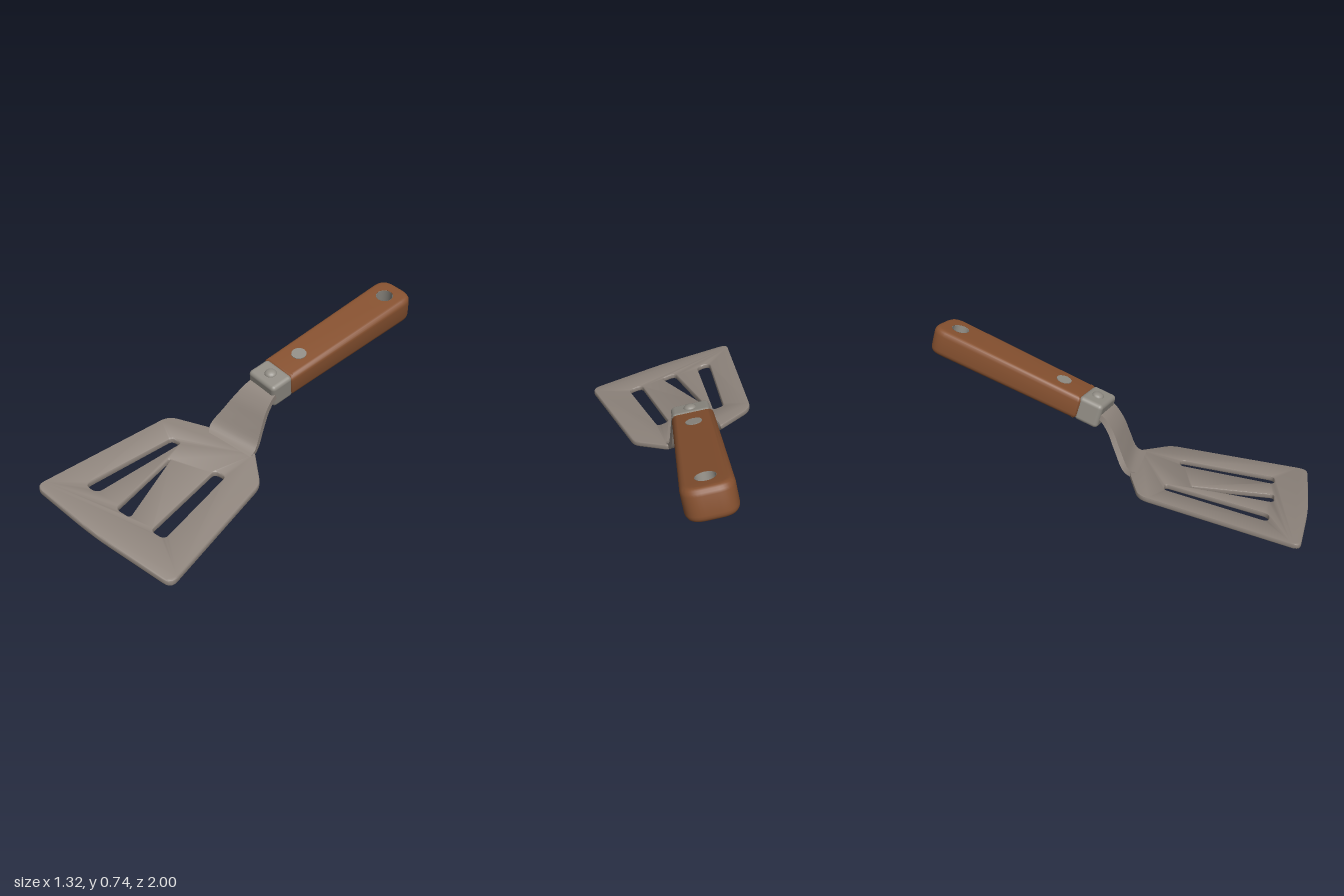
import * as THREE from 'three';
import { toCreasedNormals } from 'three/addons/utils/BufferGeometryUtils.js';
import { RoundedBoxGeometry } from 'three/addons/geometries/RoundedBoxGeometry.js';

const V = (x, y, z) => new THREE.Vector3(x, y, z);

// Closed polygon with rounded corners; each point is [x, y, radius]
function roundedPath(points, path) {
  const n = points.length;
  points.forEach(([x, y, r], i) => {
    const p = new THREE.Vector2(x, y);
    const toward = (q) => {
      const d = new THREE.Vector2(q[0], q[1]).sub(p);
      return p.clone().addScaledVector(d.normalize(), r);
    };
    const a = toward(points[(i + n - 1) % n]);
    const b = toward(points[(i + 1) % n]);
    if (i === 0) path.moveTo(a.x, a.y);
    else path.lineTo(a.x, a.y);
    path.quadraticCurveTo(x, y, b.x, b.y);
  });
  path.closePath();
  return path;
}

// Lets a rule move every vertex of a geometry
function moveVertices(geometry, rule) {
  const pos = geometry.attributes.position;
  const v = V(0, 0, 0);
  for (let i = 0; i < pos.count; i++) {
    v.fromBufferAttribute(pos, i);
    rule(v);
    pos.setXYZ(i, v.x, v.y, v.z);
  }
  return geometry;
}

function mesh(name, geometry, material) {
  const m = new THREE.Mesh(geometry, material);
  m.name = name;
  return m;
}

// Slotted blade: plan outline extruded thin and laid on a tilted plane
function bladeGeometry() {
  const flip = (pts) => pts.map(([x, z, r]) => [x, -z, r]);
  const shape = roundedPath(flip([
    [-0.67, 0.795, 0.045], [-0.3, 0.915, 0.1], [0.147, 1.01, 0.05], [0.268, 0.275, 0.04],
    [0.165, 0.09, 0.02], [-0.11, 0.03, 0.03], [-0.335, 0.06, 0.05],
  ]), new THREE.Shape());
  const slots = [
    [[-0.25, 0.195, 0.02], [-0.19, 0.205, 0.02], [-0.395, 0.7, 0.035], [-0.47, 0.68, 0.035]],
    [[-0.196, 0.34, 0.003], [-0.186, 0.34, 0.003], [-0.186, 0.76, 0.02], [-0.27, 0.745, 0.03]],
    [[0.035, 0.3, 0.025], [0.1, 0.31, 0.025], [0.01, 0.8, 0.03], [-0.068, 0.785, 0.03]],
  ];
  slots.forEach((s) => shape.holes.push(roundedPath(flip(s), new THREE.Path())));
  const geo = new THREE.ExtrudeGeometry(shape, {
    depth: 0.018, curveSegments: 5, bevelEnabled: true, bevelSegments: 2,
    bevelSize: 0.005, bevelThickness: 0.006, bevelOffset: -0.005,
  });
  geo.rotateX(-Math.PI / 2);
  moveVertices(geo, (v) => { v.y += 0.174 - 0.154 * v.x - 0.15 * v.z; });
  return toCreasedNormals(geo, 0.9);
}

// Cranked neck: flat strip lofted between a left and a right rail
function neckGeometry() {
  const left = new THREE.CatmullRomCurve3([
    V(-0.09, 0.194, 0.09), V(-0.11, 0.225, 0.03), V(-0.055, 0.31, -0.015),
    V(0, 0.39, -0.05), V(0.05, 0.45, -0.1), V(0.09, 0.47, -0.18),
  ]);
  const right = new THREE.CatmullRomCurve3([
    V(0.155, 0.148, 0.15), V(0.165, 0.175, 0.085), V(0.176, 0.27, 0.045),
    V(0.19, 0.36, 0.01), V(0.215, 0.432, -0.045), V(0.255, 0.452, -0.125),
  ]);
  const steps = 20, thickness = 0.03, rings = [], out = [];
  for (let i = 0; i <= steps; i++) {
    const t = i / steps;
    const l = left.getPoint(t), r = right.getPoint(t);
    const along = left.getTangent(t).add(right.getTangent(t));
    const down = r.clone().sub(l).cross(along).normalize().multiplyScalar(-thickness);
    rings.push([l, r, r.clone().add(down), l.clone().add(down)]);
  }
  for (let i = 0; i < steps; i++) {
    for (let j = 0; j < 4; j++) {
      const k = (j + 1) % 4;
      const a = rings[i][j], b = rings[i][k], c = rings[i + 1][k], d = rings[i + 1][j];
      [a, b, c, a, c, d].forEach((p) => out.push(p.x, p.y, p.z));
    }
  }
  const geo = new THREE.BufferGeometry();
  geo.setAttribute('position', new THREE.Float32BufferAttribute(out, 3));
  return toCreasedNormals(geo, 0.7);
}

const HOLE_Z = -0.79, HOLE_R = 0.046;
const swell = (z) => 1 - 0.17 * z; // handle thickens toward its far end

// Wooden grip: runs from z = 0 to z = -0.905 in its own frame
function gripGeometry() {
  const shape = roundedPath([
    [-0.102, 0, 0.015], [0.102, 0, 0.015], [0.115, 0.905, 0.085], [-0.115, 0.905, 0.085],
  ], new THREE.Shape());
  shape.holes.push(new THREE.Path().absarc(0, -HOLE_Z, HOLE_R, 0, Math.PI * 2, true));
  const bevel = 0.028;
  const geo = new THREE.ExtrudeGeometry(shape, {
    depth: 0.13 - 2 * bevel, curveSegments: 10, bevelEnabled: true, bevelSegments: 4,
    bevelSize: bevel, bevelThickness: bevel, bevelOffset: -bevel,
  });
  geo.translate(0, 0, -0.065 + bevel);
  geo.rotateX(-Math.PI / 2);
  moveVertices(geo, (v) => {
    // keep the hanging hole straight through the bevel
    const dx = v.x, dz = v.z - HOLE_Z, d = Math.hypot(dx, dz);
    if (d < 0.078) {
      v.x = dx / d * HOLE_R;
      v.z = HOLE_Z + dz / d * HOLE_R;
    }
    v.y *= swell(v.z);
  });
  return toCreasedNormals(geo, 0.6);
}

export function createModel() {
  const steel = new THREE.MeshStandardMaterial({ color: 0x8f857d });
  steel.name = 'blade steel';
  const fitting = new THREE.MeshStandardMaterial({ color: 0x908c84 });
  fitting.name = 'fitting metal';
  const wood = new THREE.MeshStandardMaterial({ color: 0x85502f });
  wood.name = 'brown wood';

  const model = new THREE.Group();
  model.name = 'spatula';
  model.add(mesh('blade', bladeGeometry(), steel), mesh('neck', neckGeometry(), steel));

  // Handle frame: x across, y out of the top face, -z toward the far end
  const handle = new THREE.Group();
  handle.name = 'handle';
  const back = V(-0.45, -0.23, 0.86).normalize();
  const up = back.clone().cross(V(0.893, -0.172, 0.416)).normalize();
  const across = up.clone().cross(back);
  handle.quaternion.setFromRotationMatrix(new THREE.Matrix4().makeBasis(across, up, back));
  handle.position.set(0.175, 0.455, -0.185);
  model.add(handle);

  handle.add(mesh('grip', gripGeometry(), wood));

  // Metal sleeve lining the hanging hole
  const h = 0.064 * swell(HOLE_Z);
  const sleeve = mesh('hangingHoleSleeve', new THREE.LatheGeometry([
    new THREE.Vector2(HOLE_R, -h), new THREE.Vector2(0.043, -h),
    new THREE.Vector2(0.043, h), new THREE.Vector2(HOLE_R, h),
  ], 24), fitting);
  sleeve.material.side = THREE.DoubleSide;
  sleeve.position.z = HOLE_Z;
  handle.add(sleeve);

  // Flush pin in the grip
  const pin = mesh('gripPin', new THREE.CylinderGeometry(0.04, 0.04, 0.008, 12), fitting);
  pin.position.set(0, 0.065 * swell(-0.15), -0.15);
  pin.rotation.x = 0.011;
  handle.add(pin);

  // Ferrule between neck and grip, with its domed rivet
  const ferrule = mesh('ferrule', new RoundedBoxGeometry(0.19, 0.134, 0.135, 3, 0.022), fitting);
  ferrule.position.set(0.004, 0, 0.053);
  const rivet = mesh('ferruleRivet',
    new THREE.SphereGeometry(0.032, 16, 6, 0, Math.PI * 2, 0, Math.PI / 2), fitting);
  rivet.scale.y = 0.6;
  rivet.position.set(0.004, 0.065, 0.05);
  handle.add(ferrule, rivet);

  return model;
}
